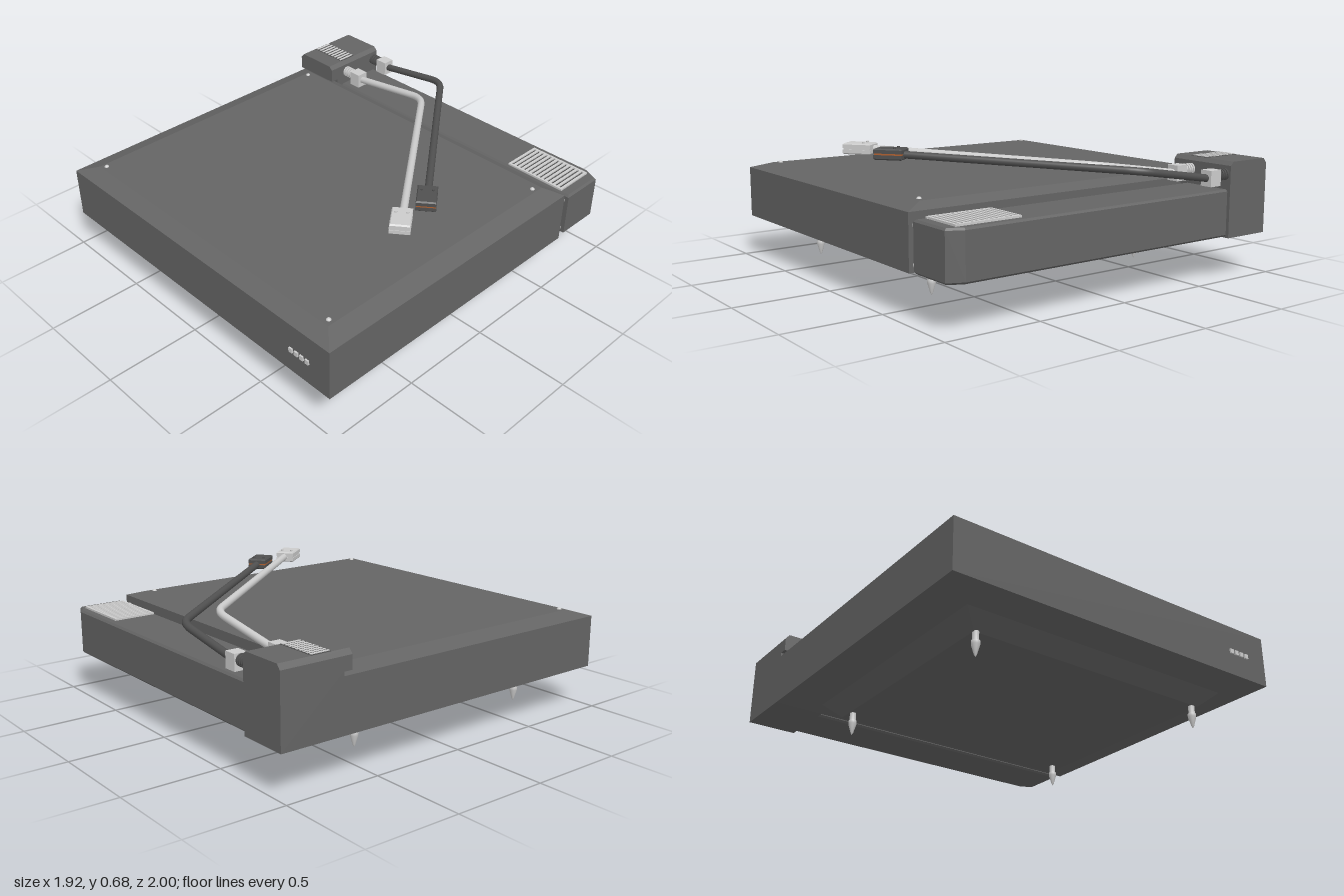
import * as THREE from 'three';

const body = new THREE.MeshStandardMaterial({ color: 0x646464, flatShading: true });
const dark = new THREE.MeshStandardMaterial({ color: 0x505050 });
const light = new THREE.MeshStandardMaterial({ color: 0xcccccc });
const accent = new THREE.MeshStandardMaterial({ color: 0xb06030 });

// Stack of rectangular sections [y, x0, x1, z0, z1] joined into a closed solid
function loft(sections) {
  const pos = [];
  const rings = sections.map(([y, x0, x1, z0, z1]) =>
    [[x0, y, z1], [x1, y, z1], [x1, y, z0], [x0, y, z0]]);
  const quad = (a, b, c, d) => [a, b, c, a, c, d].forEach(p => pos.push(...p));
  for (let k = 0; k + 1 < rings.length; k++) {
    for (let i = 0; i < 4; i++) {
      const j = (i + 1) % 4;
      quad(rings[k][i], rings[k][j], rings[k + 1][j], rings[k + 1][i]);
    }
  }
  const [a, b, c, d] = rings[0];
  quad(d, c, b, a);
  quad(...rings[rings.length - 1]);
  const g = new THREE.BufferGeometry();
  g.setAttribute('position', new THREE.Float32BufferAttribute(pos, 3));
  g.computeVertexNormals();
  return g;
}

function add(parent, name, geometry, material, x = 0, y = 0, z = 0) {
  const mesh = new THREE.Mesh(geometry, material);
  mesh.name = name;
  mesh.position.set(x, y, z);
  parent.add(mesh);
  return mesh;
}

const box = (w, h, d) => new THREE.BoxGeometry(w, h, d);
const shape = pts => new THREE.Shape(pts.map(p => new THREE.Vector2(...p)));

// Arm with bellows, socket, bent tube and a two-plate head
function createArm(name, material, z, bend, end, head) {
  const arm = new THREE.Group();
  arm.name = name;
  const y = 0.527;
  for (let i = 0; i < 4; i++) {
    add(arm, 'bellowsRing', new THREE.CylinderGeometry(0.03, 0.03, 0.01, 20), material,
      -0.69 + i * 0.016, y + 0.01, z).rotation.z = Math.PI / 2;
  }
  add(arm, 'bellowsCore', new THREE.CylinderGeometry(0.02, 0.02, 0.09, 16), material,
    -0.665, y + 0.01, z).rotation.z = Math.PI / 2;
  add(arm, 'socket', box(0.07, 0.08, 0.066), light, -0.597, y, z);

  // Two straight runs joined by a rounded bend
  const a = new THREE.Vector3(-0.57, y, z);
  const b = new THREE.Vector3(...bend);
  const c = new THREE.Vector3(...end);
  const b0 = b.clone().add(a.clone().sub(b).setLength(0.08));
  const b1 = b.clone().add(c.clone().sub(b).setLength(0.08));
  const path = new THREE.CurvePath();
  path.add(new THREE.LineCurve3(a, b0));
  path.add(new THREE.QuadraticBezierCurve3(b0, b, b1));
  path.add(new THREE.LineCurve3(b1, c));
  add(arm, 'tube', new THREE.TubeGeometry(path, 60, 0.019, 14), material);

  const h = new THREE.Group();
  h.name = 'head';
  h.position.set(...head);
  h.rotation.y = Math.atan2(c.x - b.x, c.z - b.z);
  arm.add(h);
  for (const s of [-1, 1]) {
    const plate = loft([
      [-0.012, -0.05, 0.05, -0.075, 0.075],
      [0.006, -0.05, 0.05, -0.075, 0.075],
      [0.012, -0.045, 0.045, -0.068, 0.068]]);
    const m = add(h, 'headPlate', plate, material, 0, s * 0.016, 0);
    if (s < 0) m.rotation.z = Math.PI;
  }
  add(h, 'headSeam', box(0.094, 0.012, 0.144), material === dark ? accent : light);
  for (const s of [-1, 1]) {
    add(h, 'headScrew', new THREE.CylinderGeometry(0.007, 0.007, 0.008, 10), material,
      s * 0.028, 0.031, -0.03);
  }
  return arm;
}

export function createModel() {
  const model = new THREE.Group();

  // Slab with bevelled top and stepped underside
  add(model, 'slab', loft([
    [0.12, -0.69, 0.70, -0.44, 0.75],
    [0.19, -0.78, 0.78, -0.50, 0.83],
    [0.215, -0.965, 0.96, -0.665, 0.99],
    [0.485, -0.965, 0.96, -0.665, 0.99],
    [0.515, -0.87, 0.86, -0.60, 0.90]]), body);

  // Screw heads on the slab
  for (const [x, z] of [[-0.85, -0.565], [0.835, -0.555], [-0.845, 0.875], [0.83, 0.87]]) {
    add(model, 'screw', new THREE.SphereGeometry(0.013, 12, 8), light, x, 0.512, z);
  }

  // Spiked feet
  const foot = new THREE.LatheGeometry([[0, 0], [0.007, 0.012], [0.021, 0.06], [0.021, 0.078],
    [0.016, 0.08], [0.016, 0.125]].map(p => new THREE.Vector2(...p)), 16);
  for (const [x, z] of [[-0.675, 0.745], [0.67, 0.735], [-0.67, -0.36], [0.645, -0.355]]) {
    add(model, 'foot', foot, light, x, 0, z);
  }

  // Front buttons
  for (let i = 0; i < 4; i++) {
    add(model, 'button', box(0.022, 0.024, 0.02), light, 0.717 + i * 0.035, 0.343, 0.988);
  }

  // Rear bar with one chamfered corner
  const bar = new THREE.ExtrudeGeometry(shape([[-0.71, 0.715], [0.95, 0.715], [0.95, 0.94],
    [0.88, 0.973], [-0.71, 0.973]]), { depth: 0.22, bevelSize: 0.01, bevelThickness: 0.01, bevelSegments: 1 });
  bar.rotateX(-Math.PI / 2);
  add(model, 'rearBar', bar, body, 0, 0.23, 0);

  // Pins between bar and slab
  for (const y of [0.25, 0.425]) {
    add(model, 'connectorPin', new THREE.CylinderGeometry(0.022, 0.022, 0.07, 16), light,
      0.917, y, -0.685).rotation.x = Math.PI / 2;
  }

  // Vent on the bar: frame with slats
  const vent = new THREE.Group();
  vent.name = 'barVent';
  model.add(vent);
  add(vent, 'ventBase', box(0.34, 0.004, 0.22), dark, 0.732, 0.461, -0.83);
  for (const s of [-1, 1]) {
    add(vent, 'ventFrame', box(0.345, 0.012, 0.012), light, 0.732, 0.464, -0.83 + s * 0.107);
  }
  for (let i = 0; i < 14; i++) {
    add(vent, 'ventSlat', box(0.013, 0.012, 0.22), light, 0.566 + i * 0.0255, 0.464, -0.83);
  }

  // Tower: lower block and chamfered cap overhanging the slab
  add(model, 'towerBase', box(0.265, 0.295, 0.335), body, -0.8325, 0.3625, -0.8325);
  const cap = new THREE.ExtrudeGeometry(shape([[-0.965, 0.505], [-0.70, 0.505], [-0.70, 0.58],
    [-0.72, 0.60], [-0.945, 0.60], [-0.965, 0.575]]), { depth: 0.38, bevelEnabled: false });
  add(model, 'towerCap', cap, body, 0, 0, -1);
  add(model, 'towerVentBase', box(0.22, 0.004, 0.105), dark, -0.832, 0.600, -0.77);
  for (let i = 0; i < 9; i++) {
    add(model, 'towerVentSlat', box(0.012, 0.006, 0.1), light, -0.93 + i * 0.0245, 0.602, -0.77);
  }

  // Two arms
  model.add(createArm('rearArm', dark, -0.965,
    [-0.14, 0.597, -0.957], [0.59, 0.635, -0.03], [0.63, 0.638, 0.025]));
  model.add(createArm('frontArm', light, -0.74,
    [-0.08, 0.603, -0.73], [0.63, 0.645, 0.19], [0.675, 0.645, 0.255]));
  return model;
}
